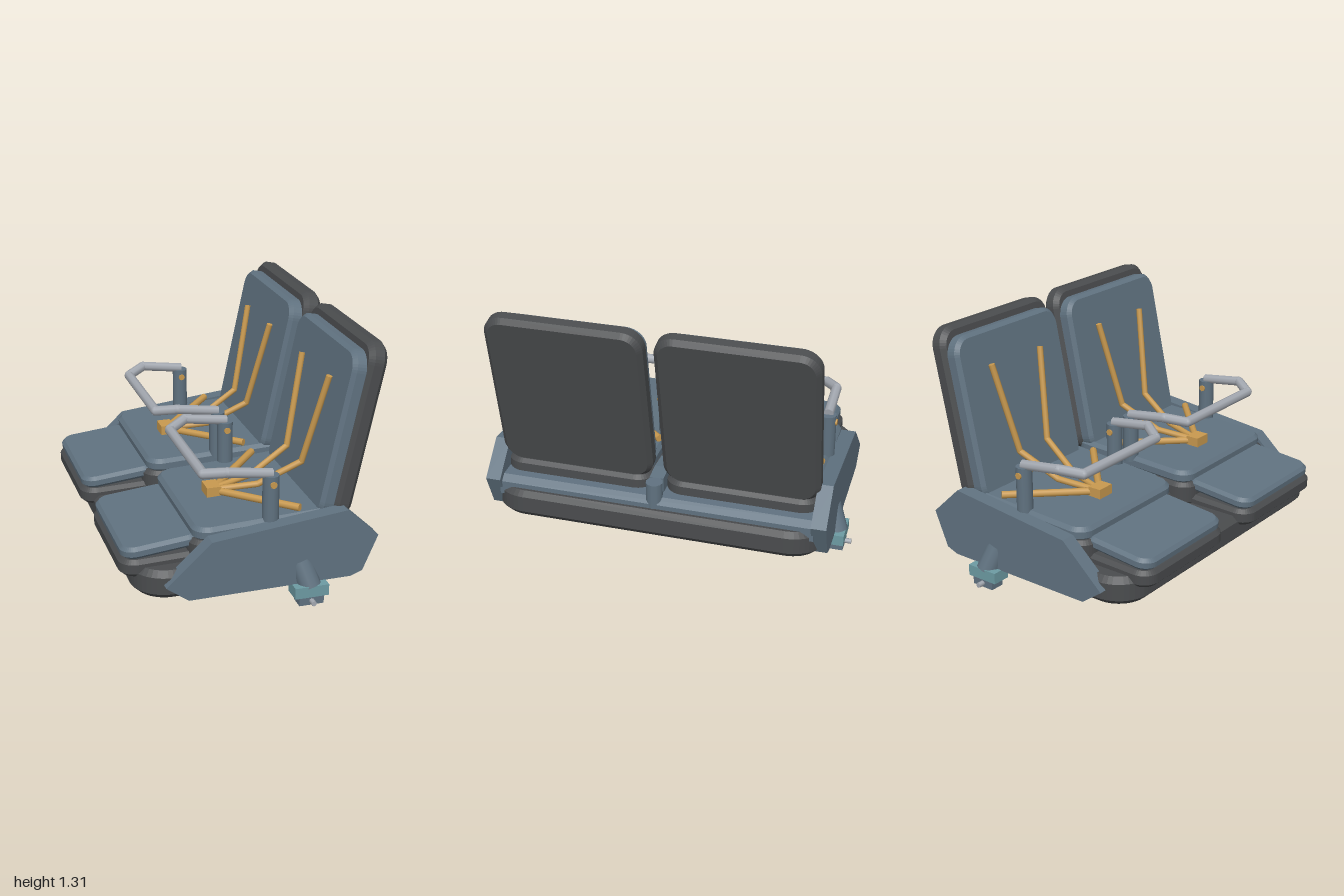
import * as THREE from 'three';

const mat = (name, color) => {
  const m = new THREE.MeshStandardMaterial({ color });
  m.name = name;
  return m;
};

export function createModel() {
  const blue = mat('slateBlue', 0x607280);
  const dark = mat('charcoal', 0x4a4c4e);
  const orange = mat('strapOrange', 0xc8994f);
  const silver = mat('barSilver', 0xa4a9b1);
  const teal = mat('footTeal', 0x6d9ba3);
  const V = (x, y, z) => new THREE.Vector3(x, y, z);
  const root = new THREE.Group();
  root.name = 'doubleSeat';

  const add = (parent, name, geo, material, x = 0, y = 0, z = 0, tilt = 0) => {
    const m = new THREE.Mesh(geo, material);
    m.name = name;
    m.position.set(x, y, z);
    m.rotation.z = tilt;
    parent.add(m);
    return m;
  };

  // Rounded slab with chamfered rims, centred on the origin, thickness along y
  const pad = (w, h, d, r, b) => {
    const x = w / 2 - b, y = d / 2 - b;
    const s = new THREE.Shape();
    s.moveTo(-x + r, -y);
    s.lineTo(x - r, -y);
    s.absarc(x - r, -y + r, r, -Math.PI / 2, 0);
    s.lineTo(x, y - r);
    s.absarc(x - r, y - r, r, 0, Math.PI / 2);
    s.lineTo(-x + r, y);
    s.absarc(-x + r, y - r, r, Math.PI / 2, Math.PI);
    s.lineTo(-x, -y + r);
    s.absarc(-x + r, -y + r, r, Math.PI, Math.PI * 1.5);
    const g = new THREE.ExtrudeGeometry(s, {
      depth: h - 2 * b, bevelThickness: b, bevelSize: b, bevelSegments: 1, curveSegments: 5,
    });
    g.translate(0, 0, b - h / 2);
    g.rotateX(-Math.PI / 2);
    return g;
  };

  // Straight rod between two points
  const rod = (parent, name, a, b, r, material, sides = 8) => {
    const m = add(parent, name, new THREE.CylinderGeometry(r, r, a.distanceTo(b), sides), material);
    m.position.copy(a).lerp(b, 0.5);
    m.quaternion.setFromUnitVectors(V(0, 1, 0), b.clone().sub(a).normalize());
    return m;
  };

  // Chain of rods with ball joints at the bends
  const chain = (parent, name, pts, r, material) => {
    const g = new THREE.Group();
    g.name = name;
    parent.add(g);
    pts.slice(1).forEach((p, i) => {
      rod(g, name + 'Segment', pts[i], p, r, material);
      if (i < pts.length - 2) add(g, name + 'Joint', new THREE.SphereGeometry(r, 8, 6), material, p.x, p.y, p.z);
    });
  };

  // Side-view outline extruded along z, centred on z
  const plate = (pts, depth) => {
    const s = new THREE.Shape(pts.map(([x, y]) => new THREE.Vector2(x, y)));
    return new THREE.ExtrudeGeometry(s, { depth, bevelEnabled: false }).translate(0, 0, -depth / 2);
  };

  // Floor tray, lifted slightly towards the rear
  const trayGeo = pad(1.27, 0.15, 1.77, 0.15, 0.03).translate(0.015, 0.175, 0);
  const p = trayGeo.attributes.position;
  for (let i = 0; i < p.count; i++) {
    p.setY(i, p.getY(i) + Math.max(0, p.getX(i) - 0.47) * 0.15);
  }
  trayGeo.computeVertexNormals();
  add(root, 'floorTray', trayGeo, dark);

  // Rear cross beam and centre divider
  add(root, 'rearBeam', plate([[0.38, 0.22], [0.6, 0.22], [0.6, 0.295], [0.565, 0.325], [0.38, 0.325]], 1.7), blue);
  add(root, 'centreDivider', plate([[-0.15, 0.22], [0.52, 0.22], [0.52, 0.41], [0.42, 0.42], [-0.12, 0.385], [-0.15, 0.36]], 0.075), blue);
  add(root, 'dividerPost', new THREE.CylinderGeometry(0.045, 0.045, 0.16, 12), blue, 0.56, 0.33, 0);

  const outline = [[-0.49, 0.185], [-0.375, 0.1], [0.48, 0.103], [0.545, 0.127], [0.625, 0.315], [0.455, 0.476], [-0.255, 0.4]];
  for (const s of [1, -1]) {
    // Side panel with its mounting foot
    add(root, 'sidePanel', plate(outline, 0.08), blue, 0, 0, s * 0.878);
    const foot = new THREE.Group();
    foot.name = 'mountingFoot';
    root.add(foot);
    rod(foot, 'footStrut', V(0.22, 0.21, s * 0.87), V(0.26, 0.08, s * 0.92), 0.06, blue, 12);
    add(foot, 'footBlock', new THREE.BoxGeometry(0.18, 0.06, 0.1), teal, 0.255, 0.074, s * 0.92);
    add(foot, 'footBase', new THREE.BoxGeometry(0.13, 0.045, 0.08), blue, 0.255, 0.0225, s * 0.925);
    rod(foot, 'footPin', V(0.255, 0.022, s * 0.87), V(0.255, 0.022, s), 0.014, silver);

    // One seat
    const seat = new THREE.Group();
    seat.name = 'seat';
    seat.position.z = s * 0.443;
    root.add(seat);
    add(seat, 'legRestBase', pad(0.46, 0.09, 0.7, 0.07, 0.02), dark, -0.45, 0.247, 0, 0.03);
    add(seat, 'legRestCushion', pad(0.42, 0.065, 0.67, 0.06, 0.018), blue, -0.46, 0.333, 0, 0.1);
    add(seat, 'seatBase', pad(0.85, 0.13, 0.82, 0.08, 0.02), dark, 0.09, 0.315, 0, 0.03);
    add(seat, 'seatCushion', pad(0.79, 0.075, 0.79, 0.07, 0.02), blue, 0.08, 0.409, 0, 0.04);
    const lean = Math.PI / 2 - 0.208;
    add(seat, 'backShell', pad(0.94, 0.1, 0.83, 0.08, 0.025), dark, 0.535, 0.84, 0, lean);
    add(seat, 'backCushion', pad(0.89, 0.09, 0.79, 0.08, 0.02), blue, 0.457, 0.823, 0, lean);

    // Harness
    add(seat, 'buckle', new THREE.BoxGeometry(0.075, 0.06, 0.1), orange, -0.113, 0.46, 0);
    for (const t of [1, -1]) {
      rod(seat, 'lapStrap', V(-0.09, 0.458, t * 0.02), V(0.235, 0.476, t * 0.375), 0.02, orange);
      chain(seat, 'shoulderStrap', [V(-0.09, 0.462, t * 0.01), V(0.12, 0.485, t * 0.06),
        V(0.34, 0.605, t * 0.11), V(0.445, 1.09, t * 0.19)], 0.017, orange);
      // Lap bar post and pivot
      add(seat, 'barPost', new THREE.CylinderGeometry(0.043, 0.043, 0.26, 12), blue, 0.08, 0.545, t * 0.37);
      rod(seat, 'barPivot', V(0.08, 0.635, t * 0.37 - 0.048), V(0.08, 0.635, t * 0.37 + 0.048), 0.018, orange);
    }
    // Lap bar
    const arm = (t) => [V(0.085, 0.682, t * 0.37), V(-0.147, 0.715, t * 0.37), V(-0.25, 0.692, t * 0.3)];
    chain(seat, 'lapBar', [...arm(1), ...arm(-1).reverse()], 0.027, silver);
  }
  return root;
}
